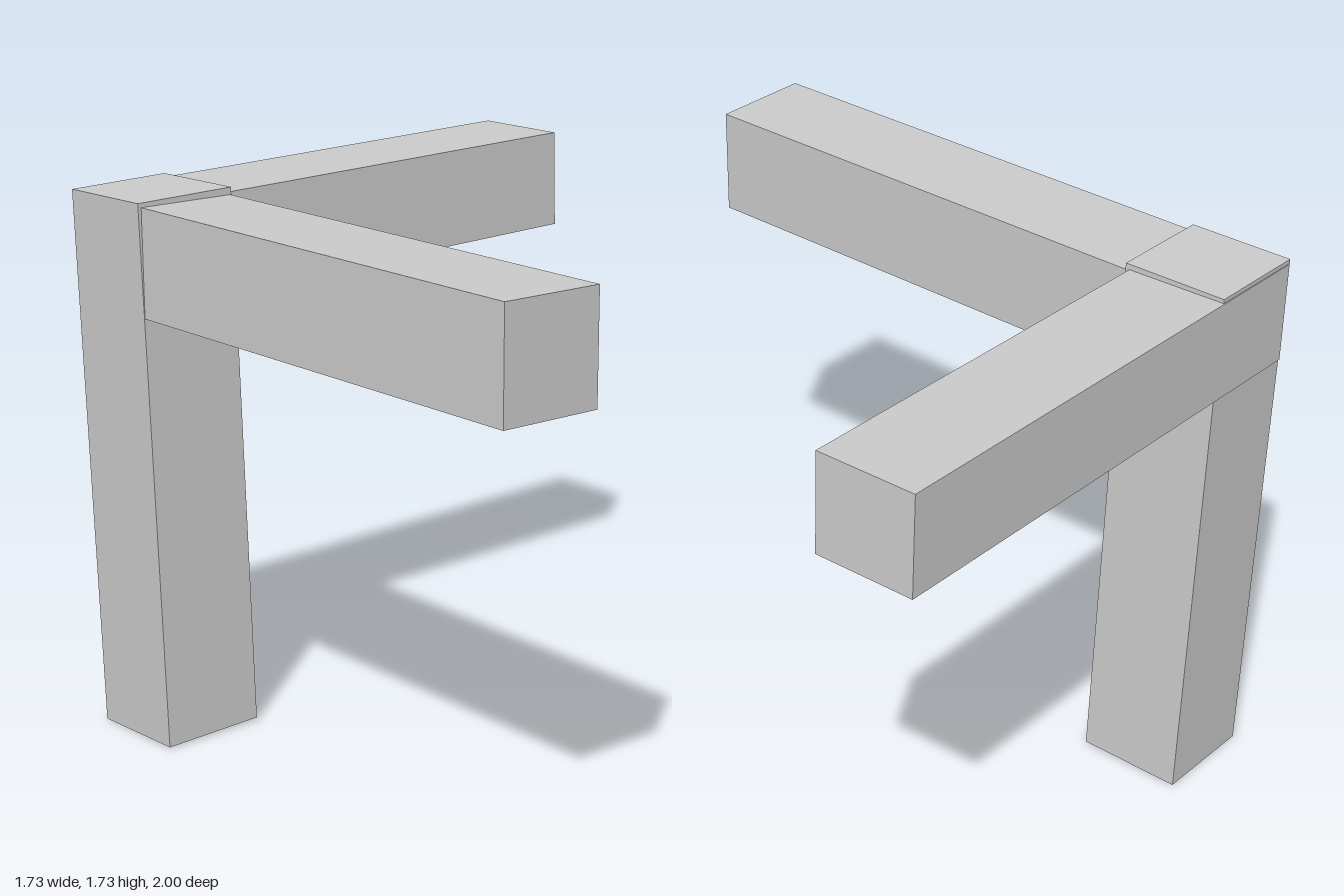
import * as THREE from 'three';

const material = new THREE.MeshStandardMaterial({ color: 0xcccccc, flatShading: true });

// A square-edged timber, tilted slightly about each axis
function timber(name, size, position, rotation) {
  const mesh = new THREE.Mesh(new THREE.BoxGeometry(...size), material);
  mesh.name = name;
  mesh.position.set(...position);
  mesh.rotation.set(...rotation);
  return mesh;
}

export function createModel() {
  const group = new THREE.Group();
  group.name = 'cornerFrame';

  group.add(
    // Upright post, leaning a little to the back and side
    timber('post', [0.344, 1.725, 0.338], [-0.679, 0.866, -0.779], [-0.0133, 0.024, 0.0133]),
    // Side beam, running through the head of the post
    timber('sideBeam', [1.715, 0.313, 0.328], [0.003, 1.566, -0.815], [0, 0.024, 0.0135]),
    // Front beam, let into the front face of the post
    timber('frontBeam', [0.328, 0.335, 1.695], [-0.691, 1.548, 0.15], [-0.004, -0.0075, -0.015]),
  );
  return group;
}
